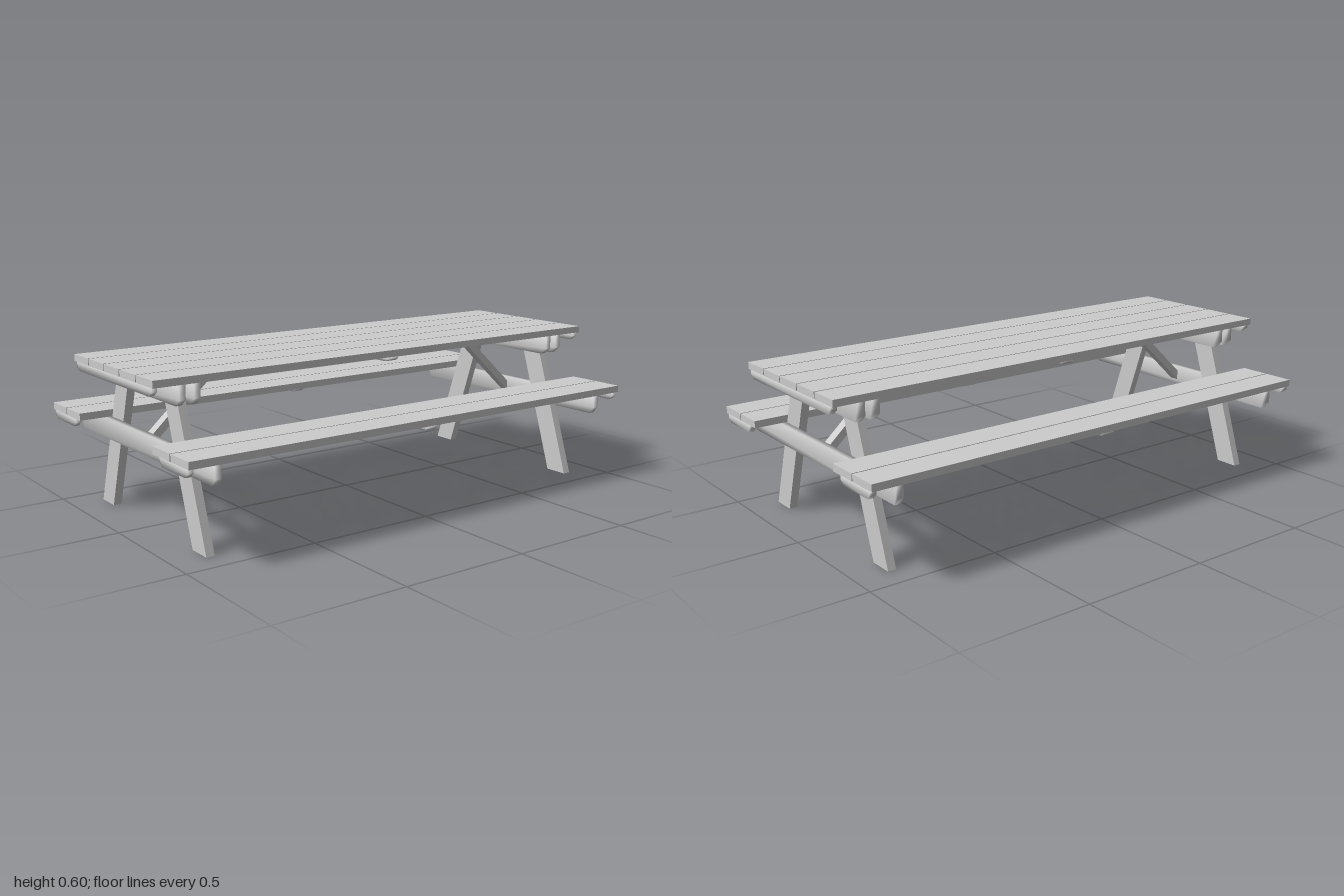
import * as THREE from 'three';
import { mergeVertices } from 'three/addons/utils/BufferGeometryUtils.js';

const material = new THREE.MeshStandardMaterial({ color: 0xcccccc });

function add(group, name, geometry, x = 0, y = 0, z = 0) {
  const mesh = new THREE.Mesh(geometry, material);
  mesh.name = name;
  mesh.position.set(x, y, z);
  group.add(mesh);
  return mesh;
}

// Prism with an outline in x and y, centred on z = 0
function prism(points, depth) {
  const shape = new THREE.Shape(points.map(([x, y]) => new THREE.Vector2(x, y)));
  const geometry = new THREE.ExtrudeGeometry(shape, { depth, bevelEnabled: false });
  return geometry.translate(0, 0, -depth / 2);
}

// Beam hanging below y = 0 with clipped lower end corners and soft normals
function beam(halfLength, height, depth, clipX, clipY) {
  const geometry = prism([
    [-halfLength, 0],
    [-halfLength, -height + clipY],
    [-halfLength + clipX, -height],
    [halfLength - clipX, -height],
    [halfLength, -height + clipY],
    [halfLength, 0],
  ], depth);
  geometry.deleteAttribute('normal');
  geometry.deleteAttribute('uv');
  const soft = mergeVertices(geometry, 1e-4);
  soft.computeVertexNormals();
  return soft;
}

export function createModel() {
  const model = new THREE.Group();
  model.name = 'picnicTable';

  const topUnder = 0.574;
  const seatUnder = 0.353;

  // Table top boards
  const topBoard = new THREE.BoxGeometry(0.12, 0.026, 2);
  for (let i = -2; i <= 2; i++) {
    add(model, 'tableBoard', topBoard, i * 0.1252, topUnder + 0.013, 0);
  }

  // Seat boards, two on each side
  const seatBoard = new THREE.BoxGeometry(0.12, 0.027, 2);
  for (const side of [-1, 1]) {
    for (const x of [0.352, 0.477]) {
      add(model, 'seatBoard', seatBoard, side * x, seatUnder + 0.0135, 0);
    }
  }

  // Thin battens under the middle of the top and seats
  add(model, 'tableMiddleBatten', beam(0.297, 0.019, 0.05, 0.015, 0.009), 0, topUnder, 0);
  const seatMiddleBatten = beam(0.096, 0.019, 0.05, 0.01, 0.009);
  for (const side of [-1, 1]) {
    add(model, 'seatMiddleBatten', seatMiddleBatten, side * 0.431, seatUnder, 0);
  }

  const tableBatten = beam(0.297, 0.032, 0.02, 0.022, 0.016);
  const seatBatten = beam(0.096, 0.032, 0.02, 0.019, 0.016);
  const tableBeam = beam(0.297, 0.079, 0.024, 0.028, 0.024);
  const seatBeam = beam(0.521, 0.079, 0.024, 0.021, 0.027);
  const leg = [
    prism([[0.311, 0], [0.405, 0], [0.211, topUnder], [0.117, topUnder]], 0.032),
    prism([[-0.405, 0], [-0.311, 0], [-0.117, topUnder], [-0.211, topUnder]], 0.032),
  ];
  // Brace outline runs along z before being turned into place
  const brace = prism([
    [0.875, 0.292], [0.875, 0.332], [0.607, topUnder], [0.564, topUnder],
  ], 0.038);

  // End frames
  for (const end of [-1, 1]) {
    const frame = new THREE.Group();
    frame.name = end > 0 ? 'frontFrame' : 'backFrame';
    model.add(frame);

    for (const g of leg) add(frame, 'leg', g, 0, 0, end * 0.858);
    for (const z of [0.886, 0.83]) add(frame, 'tableBeam', tableBeam, 0, topUnder, end * z);
    add(frame, 'seatBeam', seatBeam, 0, seatUnder, end * 0.886);
    add(frame, 'brace', brace).rotation.y = -end * Math.PI / 2;

    add(frame, 'tableEndBatten', tableBatten, 0, topUnder, end * 0.988);
    for (const side of [-1, 1]) {
      add(frame, 'seatEndBatten', seatBatten, side * 0.431, seatUnder, end * 0.988);
    }
  }

  return model;
}
